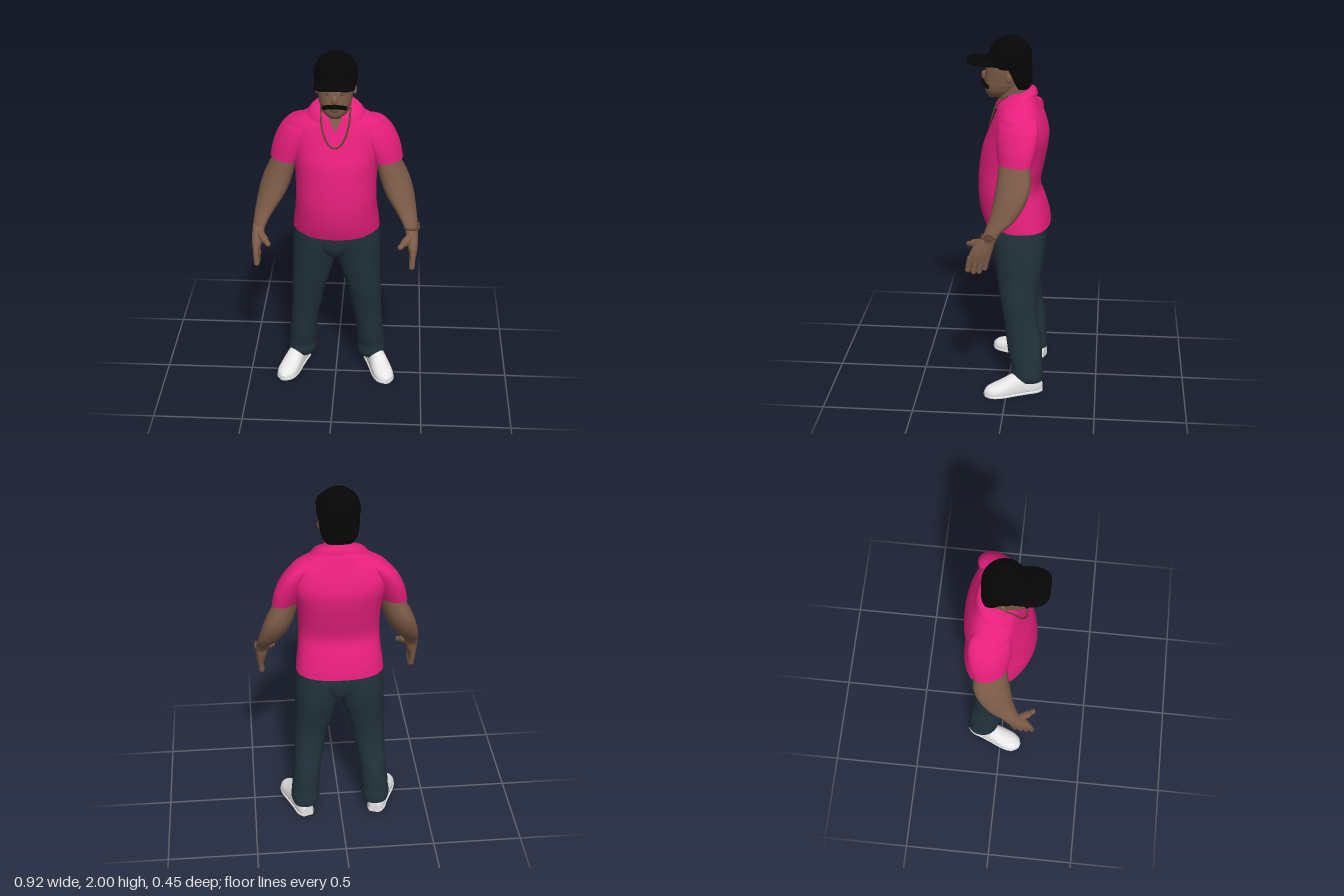
import * as THREE from 'three';
import { ParametricGeometry } from 'three/addons/geometries/ParametricGeometry.js';

const V = (x, y, z) => new THREE.Vector3(x, y, z);
const mat = (name, color) => Object.assign(new THREE.MeshStandardMaterial({ color }), { name });

// Rings are [height, outer x, inner x, front z, back z], interpolated smoothly along the height.
function ringSampler(rings, k) {
  const rows = new THREE.CubicInterpolant(rings.map(r => r[0]), rings.flatMap(r => r.slice(1)), 4);
  return y => {
    const [o, i, f, b] = rows.evaluate(y);
    return { cx: (o + i) / 2, rx: (o - i) / 2, f, b, cz: b + (f - b) * k };
  };
}

// Closed skin over the rings: k places the widest line, ef and eb square off the front and back,
// skew moves the front inward and the back outward.
function loft(rings, { k = 0.5, ef = 2.2, eb = 2.2, side = 1, skew = 0, rows = 32, segs = 36 } = {}) {
  const at = ringSampler(rings, k), pos = [], idx = [];
  const y0 = rings[0][0], y1 = rings[rings.length - 1][0];
  const addRing = y => {
    const r = at(y);
    for (let j = 0; j < segs; j++) {
      const a = j / segs * Math.PI * 2, c = Math.cos(a), s = Math.sin(a), e = 2 / (s > 0 ? ef : eb);
      const dz = (s > 0 ? r.f - r.cz : r.cz - r.b) * Math.sign(s) * Math.abs(s) ** e;
      pos.push(side * (r.cx - skew * dz) + r.rx * Math.sign(c) * Math.abs(c) ** e, y, r.cz + dz);
    }
    return r;
  };
  for (let i = 0; i <= rows; i++) addRing(y0 + (y1 - y0) * i / rows);
  for (let i = 0; i < rows; i++) for (let j = 0; j < segs; j++) {
    const n = (j + 1) % segs, a = i * segs + j, b = i * segs + n;
    idx.push(a, a + segs, b, b, a + segs, b + segs);
  }
  // End caps with their own corners, so hems stay sharp
  for (const [y, top] of [[y0, false], [y1, true]]) {
    const start = pos.length / 3, r = addRing(y), mid = pos.length / 3;
    pos.push(side * r.cx, y, r.cz);
    for (let j = 0; j < segs; j++) {
      const a = start + j, b = start + (j + 1) % segs;
      idx.push(mid, top ? b : a, top ? a : b);
    }
  }
  const g = new THREE.BufferGeometry();
  g.setAttribute('position', new THREE.Float32BufferAttribute(pos, 3));
  g.setIndex(idx);
  g.computeVertexNormals();
  return g;
}

export function createModel() {
  const model = new THREE.Group();
  const skin = mat('skin', 0x7d5c48), pink = mat('pink cloth', 0xe61f7c), denim = mat('dark denim', 0x22323c);
  const black = mat('black cap', 0x060606), hairMat = mat('black hair', 0x070605);
  const white = mat('white shoe', 0xeaeaea), bronze = mat('bronze', 0x624636), shade = mat('dark skin', 0x5c4435);
  pink.side = THREE.DoubleSide;
  const add = (name, geo, material, parent = model) => {
    const m = new THREE.Mesh(geo, material);
    m.name = name;
    parent.add(m);
    return m;
  };
  const ball = (name, material, p, s) => {
    const m = add(name, new THREE.SphereGeometry(1, 20, 14), material);
    m.position.set(...p);
    m.scale.set(...s);
    return m;
  };
  const capsule = (name, a, b, r, parent) => {
    const m = add(name, new THREE.CapsuleGeometry(r, a.distanceTo(b), 5, 10), skin, parent);
    m.position.copy(a).lerp(b, 0.5);
    m.quaternion.setFromUnitVectors(V(0, 1, 0), b.clone().sub(a).normalize());
  };
  const sym = rows => rows.map(([y, w, f, b]) => [y, w, -w, f, b]);

  // Shirt body with full belly and sloping shoulders
  const torso = sym([
    [0.96, 0.242, 0.14, -0.226], [1.01, 0.237, 0.156, -0.218], [1.08, 0.228, 0.17, -0.198],
    [1.17, 0.222, 0.176, -0.167], [1.3, 0.224, 0.166, -0.187], [1.4, 0.238, 0.148, -0.205],
    [1.47, 0.255, 0.122, -0.21], [1.54, 0.268, 0.094, -0.192], [1.595, 0.25, 0.072, -0.168],
    [1.63, 0.185, 0.058, -0.15], [1.67, 0.11, 0.044, -0.132], [1.7, 0.08, 0.02, -0.115]]);
  add('shirtBody', loft(torso, { k: 0.42, ef: 2.1, eb: 2.4, rows: 60, segs: 56 }), pink);
  const torsoAt = ringSampler(torso, 0.42);
  const chestZ = (x, y) => {
    const r = torsoAt(y);
    return r.cz + (r.f - r.cz) * Math.sqrt(Math.max(0, 1 - (x / r.rx) ** 2));
  };

  // Turned-down collar, open at the front
  add('collar', new ParametricGeometry((u, v, out) => {
    const a = 0.32 + u * (Math.PI * 2 - 0.64), c = Math.cos(a), s = Math.sin(a), bulge = 0.007 * Math.sin(v * Math.PI);
    const top = V(0.086 * s, 1.695 - 0.033 * c, -0.035 + 0.08 * c);
    const low = V(0.154 * s, 1.65 - 0.035 * c, -0.04 + (c > 0 ? 0.125 : 0.108) * c);
    out.copy(top).lerp(low, v).add(V(bulge * s, bulge, bulge * c));
  }, 48, 6), pink);

  // Bare skin in the open neck
  const vee = new THREE.BufferGeometry().setFromPoints([[-0.04, 1.66], [0, 1.575], [0.04, 1.66]]
    .map(([x, y]) => V(x, y, chestZ(x, y) + 0.008)));
  vee.computeVertexNormals();
  add('openNeck', vee, skin);

  // Necklace resting on the chest
  const chain = [];
  for (let i = -10; i <= 10; i++) {
    const a = i / 10 * Math.PI / 2, x = 0.078 * Math.sin(a), y = 1.69 - 0.19 * Math.cos(a);
    chain.push(V(x, y, chestZ(x, y) + 0.005 + 0.017 * Math.sin(a) ** 2));
  }
  add('necklace', new THREE.TubeGeometry(new THREE.CatmullRomCurve3(chain), 60, 0.005, 6), bronze);

  // Neck and head
  add('neck', loft(sym([[1.58, 0.072, 0.045, -0.09], [1.66, 0.072, 0.058, -0.09], [1.77, 0.075, 0.075, -0.09]])), skin);
  add('head', loft(sym([
    [1.668, 0.032, 0.115, 0.03], [1.69, 0.062, 0.13, -0.02], [1.73, 0.082, 0.137, -0.06],
    [1.78, 0.092, 0.136, -0.085], [1.83, 0.099, 0.13, -0.1], [1.88, 0.1, 0.112, -0.1]]), { ef: 2.3 }), skin);
  add('hair', loft(sym([[1.722, 0.072, -0.035, -0.104], [1.75, 0.09, -0.022, -0.115], [1.79, 0.102, 0, -0.118],
    [1.83, 0.107, 0.03, -0.117], [1.87, 0.107, 0.045, -0.112]]), { ef: 3, eb: 2.4 }), hairMat);
  ball('nose', skin, [0, 1.782, 0.137], [0.018, 0.026, 0.018]);
  ball('lips', shade, [0, 1.722, 0.134], [0.026, 0.007, 0.008]);
  const moustache = new THREE.CatmullRomCurve3([
    [-0.056, 1.732, 0.116], [-0.03, 1.744, 0.138], [0, 1.748, 0.146], [0.03, 1.744, 0.138], [0.056, 1.732, 0.116]].map(p => V(...p)));
  add('moustache', new THREE.TubeGeometry(moustache, 24, 0.012, 8), hairMat);
  for (const s of [-1, 1]) {
    ball('moustacheTip', hairMat, [s * 0.056, 1.732, 0.116], [0.012, 0.012, 0.012]);
    ball('eye', shade, [s * 0.038, 1.812, 0.126], [0.016, 0.006, 0.006]);
    ball('eyebrow', shade, [s * 0.04, 1.835, 0.122], [0.024, 0.006, 0.008]);
    ball('ear', skin, [s * 0.1, 1.79, 0.0], [0.011, 0.027, 0.016]);
  }

  // Cap crown, button and curved peak
  add('capCrown', loft(sym([[1.835, 0.109, 0.108, -0.112], [1.87, 0.116, 0.116, -0.116], [1.91, 0.112, 0.112, -0.113],
    [1.95, 0.094, 0.093, -0.096], [1.98, 0.06, 0.06, -0.064], [1.992, 0.036, 0.036, -0.038], [1.998, 0.006, 0.006, -0.006]]),
    { ef: 2, eb: 2, rows: 40 }), black);
  ball('capButton', black, [0, 1.996, 0], [0.01, 0.004, 0.01]);
  const peak = loft(sym([[0.03, 0.106, -1.856, -1.882], [0.1, 0.108, -1.858, -1.888], [0.16, 0.106, -1.862, -1.89],
    [0.2, 0.09, -1.862, -1.888], [0.218, 0.07, -1.862, -1.884], [0.227, 0.045, -1.866, -1.88]]));
  peak.rotateX(Math.PI / 2);
  const pp = peak.attributes.position;
  for (let i = 0; i < pp.count; i++) pp.setY(i, pp.getY(i) - 1.8 * pp.getX(i) ** 2);
  peak.computeVertexNormals();
  add('capPeak', peak, black);

  // Seat of the trousers, filling the cleft between the legs
  add('trouserSeat', loft(sym([[0.775, 0.012, 0.01, -0.12], [0.81, 0.06, 0.058, -0.172], [0.85, 0.14, 0.08, -0.19],
    [0.9, 0.215, 0.092, -0.198], [0.965, 0.225, 0.098, -0.195]]), { ef: 2.4, eb: 2.6 }), denim);

  for (const side of [-1, 1]) {
    // Sleeve with rounded shoulder, and arm
    add('sleeve', loft([[1.378, 0.357, 0.21, 0.046, -0.138], [1.45, 0.341, 0.175, 0.054, -0.156], [1.52, 0.312, 0.14, 0.056, -0.166],
      [1.57, 0.276, 0.125, 0.046, -0.164], [1.605, 0.232, 0.12, 0.018, -0.144], [1.625, 0.185, 0.13, -0.03, -0.1]],
      { side, skew: 0.32, ef: 2, eb: 2 }), pink);
    add('arm', loft([[1.0, 0.454, 0.39, 0.118, 0.042], [1.05, 0.449, 0.366, 0.1, 0.008], [1.1, 0.441, 0.333, 0.082, -0.05],
      [1.18, 0.425, 0.28, 0.064, -0.105], [1.26, 0.4, 0.247, 0.05, -0.133], [1.38, 0.344, 0.219, 0.038, -0.128],
      [1.45, 0.315, 0.21, 0.03, -0.12]], { side, skew: 0.2 }), skin);

    // Hand with four fingers and a thumb
    const hand = new THREE.Group();
    hand.name = 'hand';
    model.add(hand);
    add('palm', loft([[0.885, 0.45, 0.41, 0.19, 0.075], [0.92, 0.455, 0.403, 0.183, 0.066], [0.96, 0.457, 0.392, 0.164, 0.054],
      [1.02, 0.453, 0.386, 0.114, 0.04]], { side, rows: 16 }), skin, hand);
    for (let i = 0; i < 4; i++) {
      const tipY = [0.845, 0.825, 0.823, 0.832][i];
      capsule('finger', V(side * 0.431, 0.9, 0.088 + i * 0.03), V(side * 0.426, tipY, 0.1 + i * 0.03), 0.0155, hand);
    }
    capsule('thumb', V(side * 0.412, 0.985, 0.12), V(side * 0.382, 0.966, 0.163), 0.022, hand);
    capsule('thumbTip', V(side * 0.386, 0.967, 0.158), V(side * 0.36, 0.954, 0.19), 0.015, hand);

    // Trouser leg with a slightly gathered cuff
    add('trouserLeg', loft([[0.07, 0.275, 0.135, -0.04, -0.2], [0.1, 0.286, 0.122, -0.025, -0.203], [0.15, 0.281, 0.127, -0.026, -0.198],
      [0.2, 0.278, 0.12, -0.012, -0.197], [0.3, 0.268, 0.113, 0.004, -0.19], [0.42, 0.26, 0.092, 0.02, -0.17],
      [0.55, 0.256, 0.067, 0.044, -0.165], [0.65, 0.25, 0.036, 0.06, -0.176], [0.78, 0.248, 0.006, 0.078, -0.196],
      [0.9, 0.243, -0.005, 0.095, -0.2], [0.965, 0.234, 0, 0.1, -0.196]], { side, ef: 2.1, eb: 2.3, rows: 50 }), denim);

    // Shoe turned outward, over a thin sole
    const outline = [[-0.165, 0.028, 0.07], [-0.14, 0.044, 0.1], [-0.06, 0.05, 0.126], [0, 0.054, 0.115],
      [0.06, 0.059, 0.085], [0.12, 0.054, 0.062], [0.15, 0.038, 0.05], [0.168, 0.012, 0.032]];
    const shoe = new THREE.Group();
    shoe.name = 'shoe';
    shoe.position.set(side * 0.25, 0, -0.037);
    shoe.rotation.y = side * 0.34;
    model.add(shoe);
    const upper = loft(sym(outline.map(([t, w, h]) => [t, w, -0.004, -h])), { k: 0.7, ef: 4 });
    const sole = loft(sym(outline.map(([t, w]) => [t, w + 0.003, 0, -0.018])), { ef: 6, eb: 4 });
    add('shoeUpper', upper.rotateX(Math.PI / 2), white, shoe);
    add('shoeSole', sole.rotateX(Math.PI / 2), white, shoe);
  }

  // Bracelet with a round face on the left wrist
  const band = add('bracelet', new THREE.TorusGeometry(0.039, 0.007, 8, 28), bronze);
  band.position.set(0.42, 1.024, 0.075);
  band.rotation.x = Math.PI / 2;
  const face = add('braceletFace', new THREE.CylinderGeometry(0.024, 0.026, 0.012, 24), bronze);
  face.position.set(0.456, 1.024, 0.075);
  face.rotation.z = -Math.PI / 2;

  return model;
}
